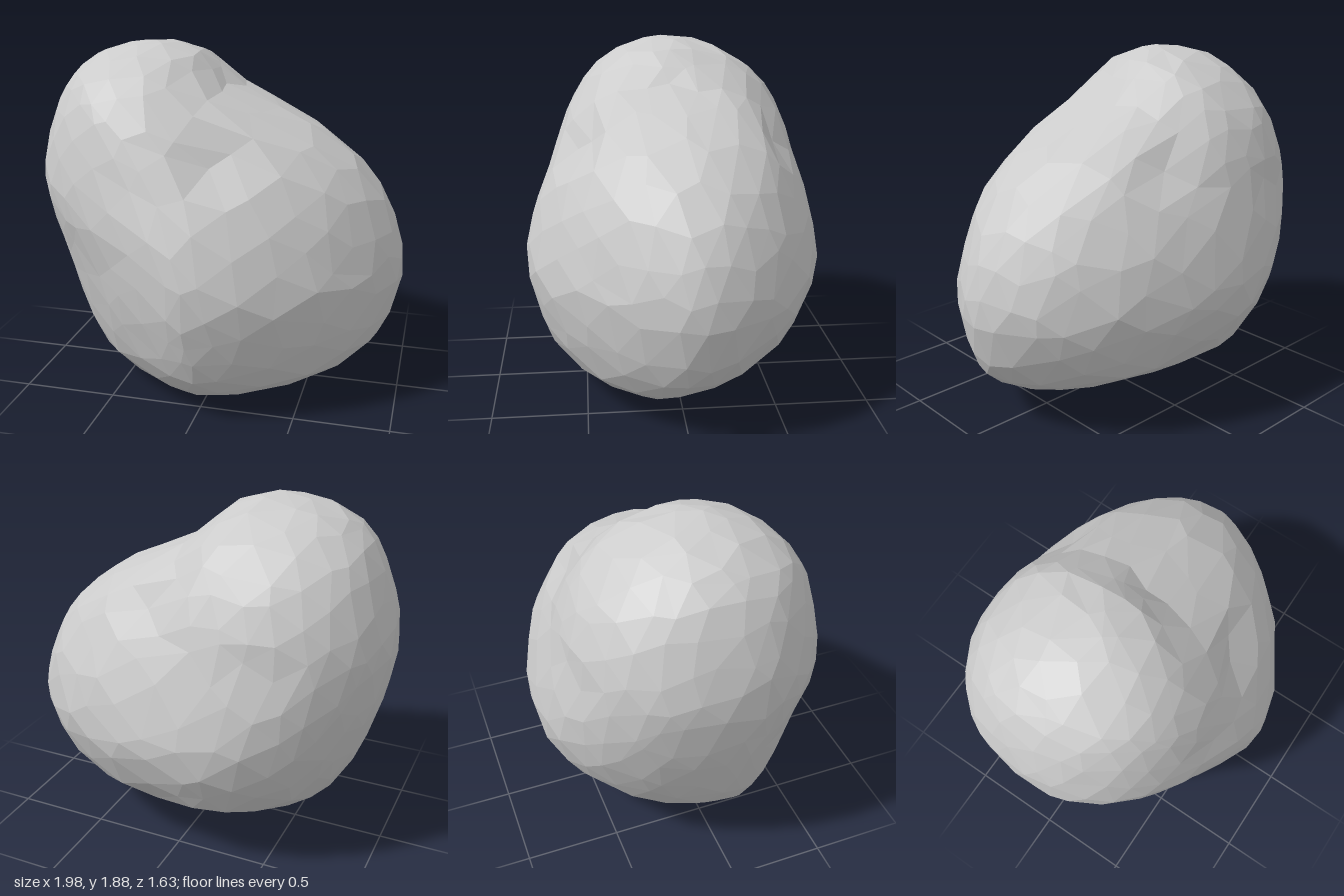
import * as THREE from 'three';

// Level sections: y, xMin, xMax, zMin, zMax, x of foremost point, x of rearmost point
const LEVELS = [
  [0.00, -0.14, -0.02, 0.28, 0.34, -0.06, -0.06],
  [0.02, -0.32, 0.33, 0.00, 0.42, -0.03, -0.03],
  [0.10, -0.51, 0.57, -0.24, 0.55, 0, 0],
  [0.22, -0.67, 0.78, -0.45, 0.68, 0, -0.05],
  [0.36, -0.78, 0.92, -0.66, 0.74, 0, -0.10],
  [0.60, -0.87, 0.99, -0.79, 0.81, 0, -0.15],
  [0.74, -0.92, 1.00, -0.82, 0.82, 0, -0.17],
  [1.00, -0.98, 0.93, -0.78, 0.76, -0.08, -0.20],
  [1.20, -1.00, 0.81, -0.71, 0.67, -0.18, -0.30],
  [1.35, -0.97, 0.64, -0.68, 0.62, -0.27, -0.32],
  [1.50, -0.92, 0.41, -0.62, 0.56, -0.36, -0.32],
  [1.60, -0.88, 0.17, -0.56, 0.50, -0.40, -0.30],
  [1.70, -0.82, 0.01, -0.47, 0.43, -0.42, -0.24],
  [1.80, -0.70, -0.08, -0.33, 0.30, -0.39, -0.24],
  [1.85, -0.60, -0.17, -0.20, 0.19, -0.36, -0.30],
  [1.88, -0.37, -0.31, -0.03, 0.04, -0.34, -0.34],
];

// Dents along the neck between the two lobes: centre, push, radius
const DENTS = [
  { at: [0.06, 1.40, 0.50], push: [-0.01, -0.03, -0.08], r: 0.14 },
  { at: [0.08, 1.42, -0.52], push: [-0.02, -0.03, 0.08], r: 0.16 },
  { at: [-0.48, 1.15, -0.62], push: [0.02, -0.02, 0.04], r: 0.10 },
  { at: [0.10, 1.58, 0.05], push: [-0.02, -0.03, 0], r: 0.18 },
];

function levelAt(y) {
  let i = 0;
  while (i < LEVELS.length - 2 && y > LEVELS[i + 1][0]) i++;
  const a = LEVELS[i], b = LEVELS[i + 1];
  const t = THREE.MathUtils.clamp((y - a[0]) / (b[0] - a[0]), 0, 1);
  return a.map((v, k) => v + (b[k] - v) * t);
}

// Repeatable noise in -1..1, equal for coincident corners
function noise(v, seed) {
  const q = (n) => Math.round(n * 1000);
  const n = Math.sin(q(v.x) * 0.129 + q(v.y) * 0.782 + q(v.z) * 0.377 + seed * 17.3) * 43758.5;
  return (n - Math.floor(n)) * 2 - 1;
}

// Roundness of each quarter of a section: wedge-shaped low at the front, fuller above and behind
function quarterPower(isFront, isLeftLobe, y) {
  const { lerp, smoothstep } = THREE.MathUtils;
  if (isFront) {
    return isLeftLobe
      ? lerp(1.45, 2.0, smoothstep(y, 0.7, 1.25))
      : lerp(1.58, 1.95, smoothstep(y, 0.8, 1.5));
  }
  return isLeftLobe ? lerp(2.05, 2.3, smoothstep(y, 0.6, 1.1)) : 1.95;
}

// Maps a direction on the unit sphere to the rock's surface
function toSurface(dir) {
  const y = 0.94 * (1 + dir.y);
  const [, xMin, xMax, zMin, zMax, xFront, xBack] = levelAt(y);
  const len = Math.hypot(dir.x, dir.z) || 1;
  const c = dir.x / len, s = dir.z / len;
  const xMid = s > 0 ? xFront : xBack;
  // The widest points sit a little forward on one side and back on the other
  const zMid = (zMin + zMax) / 2 + (c > 0 ? -0.03 : 0.03) * (zMax - zMin);
  const power = quarterPower(s > 0, c < 0, y);
  const bend = (v) => Math.abs(v) ** (2 / power);
  const p = new THREE.Vector3(
    xMid + bend(c) * ((c > 0 ? xMax : xMin) - xMid),
    y,
    zMid + bend(s) * ((s > 0 ? zMax : zMin) - zMid),
  );
  for (const d of DENTS) {
    const dist = p.distanceTo(new THREE.Vector3(...d.at));
    p.addScaledVector(new THREE.Vector3(...d.push), Math.exp(-((dist / d.r) ** 2)));
  }
  return p;
}

export function createModel() {
  const geometry = new THREE.IcosahedronGeometry(1, 5);
  const pos = geometry.attributes.position;
  const v = new THREE.Vector3();
  for (let i = 0; i < pos.count; i++) {
    v.fromBufferAttribute(pos, i);
    // Shuffle the corners sideways for irregular facets
    const jitter = new THREE.Vector3(noise(v, 1), noise(v, 2), noise(v, 3));
    v.addScaledVector(jitter, 0.045).normalize();
    const p = toSurface(v);
    pos.setXYZ(i, p.x, p.y, p.z);
  }

  // Centre it, standing on the floor
  geometry.center();
  geometry.translate(0, -geometry.boundingBox.min.y, 0);
  geometry.computeVertexNormals();

  const rock = new THREE.Mesh(
    geometry,
    new THREE.MeshStandardMaterial({ color: 0xcccccc, flatShading: true }),
  );
  rock.name = 'rock';
  const group = new THREE.Group();
  group.name = 'twoLobedRock';
  group.add(rock);
  return group;
}
